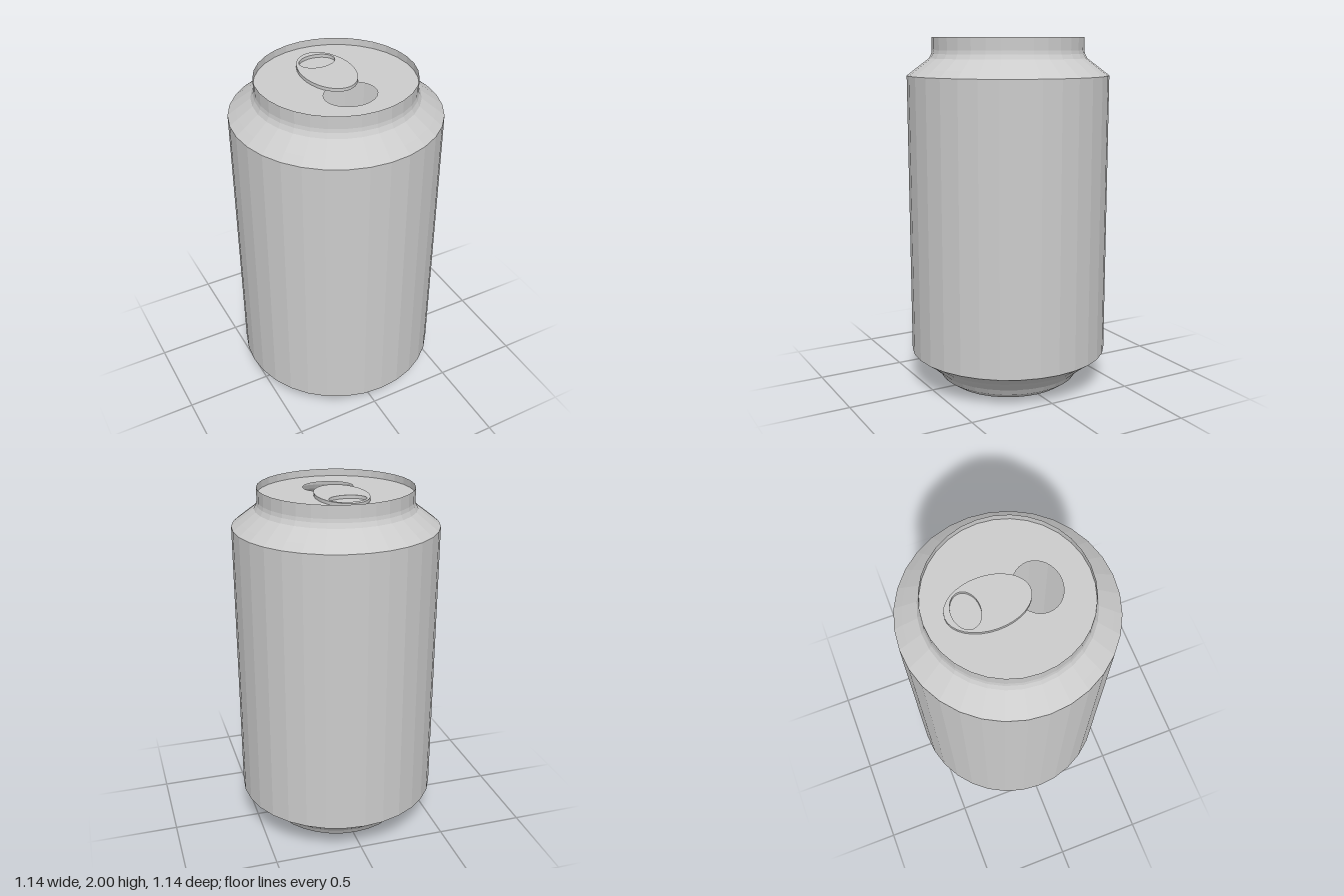
import * as THREE from 'three';

const SIDES = 32;
const LID_Y = 1.96;
const material = new THREE.MeshStandardMaterial({ color: 0xcccccc, flatShading: true, side: THREE.DoubleSide });

function addPart(group, name, geometry) {
  const mesh = new THREE.Mesh(geometry, material);
  mesh.name = name;
  group.add(mesh);
  return mesh;
}

// Turned sheet-metal section from [radius, height] pairs
function turned(profile) {
  return new THREE.LatheGeometry(profile.map(([r, y]) => new THREE.Vector2(r, y)), SIDES);
}

// Ellipse in plan; z is the model's depth coordinate
function ellipse(PathType, z, rx, rz) {
  return new PathType().absellipse(0, -z, rx, rz, 0, Math.PI * 2);
}

export function createModel() {
  const can = new THREE.Group();
  can.name = 'drinkCan';

  // Closed base with stepped taper
  addPart(can, 'base', turned([
    [0, 0], [0.35, 0], [0.4, 0.035], [0.42, 0.07], [0.465, 0.11], [0.485, 0.13], [0.57, 0.19],
  ]));

  // Straight wall
  addPart(can, 'body', turned([[0.57, 0.19], [0.57, 1.79]]));

  // Shoulder and upright rim
  addPart(can, 'neckAndRim', turned([
    [0.57, 1.79], [0.525, 1.825], [0.445, 1.885], [0.432, 1.91], [0.428, 1.93], [0.428, 2],
  ]));

  // Recessed lid with the drinking opening cut through it
  const lidShape = ellipse(THREE.Shape, 0, 0.428, 0.428);
  lidShape.holes.push(ellipse(THREE.Path, 0.155, 0.142, 0.123));
  const lid = new THREE.ShapeGeometry(lidShape, SIDES / 2);
  lid.rotateX(-Math.PI / 2).translate(0, LID_Y, 0);
  addPart(can, 'lid', lid);

  // Pull tab with a finger hole
  const tabShape = ellipse(THREE.Shape, -0.102, 0.142, 0.22);
  tabShape.holes.push(ellipse(THREE.Path, -0.215, 0.101, 0.073));
  const tab = new THREE.ExtrudeGeometry(tabShape, { depth: 0.018, bevelEnabled: false, curveSegments: SIDES / 2 });
  tab.rotateX(-Math.PI / 2).translate(0, LID_Y + 0.001, 0);
  addPart(can, 'pullTab', tab);

  return can;
}
